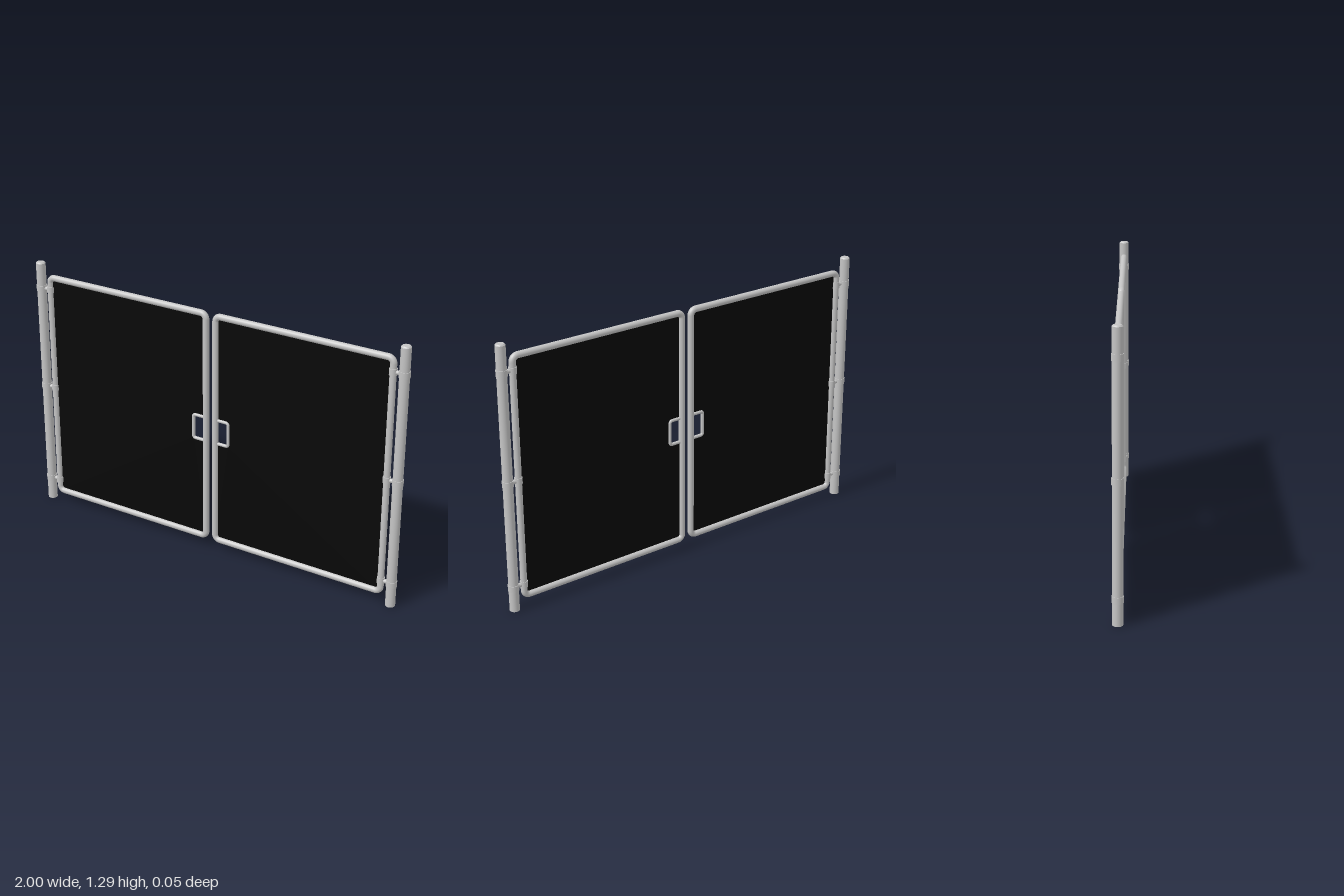
import * as THREE from 'three';

const steel = new THREE.MeshStandardMaterial({ color: 0xc4c4c4 });
steel.name = 'galvanised steel';
const mesh = new THREE.MeshStandardMaterial({ color: 0x080808, side: THREE.DoubleSide });
mesh.name = 'black infill';

const POST_X = 0.974, POST_R = 0.0235, POST_H = 1.293;
const X0 = 0.026, X1 = 0.92, Y0 = 0.056, Y1 = 1.223, TUBE = 0.0155;
const HANDLE_X = 0.096, HANDLE_Y0 = 0.577, HANDLE_Y1 = 0.699;

function add(parent, name, geometry, material, x = 0, y = 0) {
  const m = new THREE.Mesh(geometry, material);
  m.name = name;
  m.position.set(x, y, 0);
  parent.add(m);
  return m;
}

// Straight round bar between two points in the gate's plane
function bar(parent, name, ax, ay, bx, by, r) {
  const length = Math.hypot(bx - ax, by - ay);
  const m = add(parent, name, new THREE.CylinderGeometry(r, r, length, 20, 1, true), steel, (ax + bx) / 2, (ay + by) / 2);
  m.rotation.z = Math.atan2(by - ay, bx - ax) - Math.PI / 2;
}

// Round-cornered tube frame; an open frame has no inner side
function tubeFrame(name, x0, x1, y0, y1, bend, r, open) {
  const g = new THREE.Group();
  g.name = name;
  const start = open ? x0 : x0 + bend;
  bar(g, name + 'Top', start, y1, x1 - bend, y1, r);
  bar(g, name + 'Bottom', start, y0, x1 - bend, y0, r);
  bar(g, name + 'OuterSide', x1, y0 + bend, x1, y1 - bend, r);
  if (!open) bar(g, name + 'InnerSide', x0, y0 + bend, x0, y1 - bend, r);
  const corners = [[x1 - bend, y1 - bend, 0], [x1 - bend, y0 + bend, 3]];
  if (!open) corners.push([x0 + bend, y1 - bend, 1], [x0 + bend, y0 + bend, 2]);
  for (const [x, y, quarter] of corners) {
    const c = add(g, name + 'Corner', new THREE.TorusGeometry(bend, r, 20, 8, Math.PI / 2), steel, x, y);
    c.rotation.z = quarter * Math.PI / 2;
  }
  return g;
}

function gateSide(name) {
  const side = new THREE.Group();
  side.name = name;

  // Post with a slightly bevelled top
  add(side, 'post', new THREE.CylinderGeometry(POST_R, POST_R, POST_H - 0.006, 28), steel, POST_X, (POST_H - 0.006) / 2);
  add(side, 'postCap', new THREE.CylinderGeometry(POST_R * 0.75, POST_R, 0.006, 28), steel, POST_X, POST_H - 0.003);

  // Leaf frame and latch opening
  side.add(tubeFrame('leafFrame', X0, X1, Y0, Y1, 0.026, TUBE, false));
  side.add(tubeFrame('latchFrame', X0, HANDLE_X, HANDLE_Y0, HANDLE_Y1, 0.012, 0.008, true));

  // Infill sheet with a notch for the latch
  const sheet = new THREE.Shape([
    [X0, Y0 + 0.01], [X0 + 0.01, Y0], [X1 - 0.01, Y0], [X1, Y0 + 0.01],
    [X1, Y1 - 0.01], [X1 - 0.01, Y1], [X0 + 0.01, Y1], [X0, Y1 - 0.01],
    [X0, HANDLE_Y1], [HANDLE_X, HANDLE_Y1], [HANDLE_X, HANDLE_Y0], [X0, HANDLE_Y0],
  ].map(([x, y]) => new THREE.Vector2(x, y)));
  add(side, 'infillSheet', new THREE.ShapeGeometry(sheet), mesh);

  // Hinges: a collar on the post, one on the leaf, and a pin between
  for (const y of [0.117, 0.638, 1.16]) {
    add(side, 'postCollar', new THREE.CylinderGeometry(0.026, 0.026, 0.03, 28), steel, POST_X, y);
    add(side, 'leafCollar', new THREE.CylinderGeometry(0.0185, 0.0185, 0.03, 24), steel, X1, y);
    bar(side, 'hingePin', X1, y, POST_X, y, 0.01);
  }
  return side;
}

export function createModel() {
  const model = new THREE.Group();
  model.name = 'doubleGate';
  const left = gateSide('leftGate');
  const right = gateSide('rightGate');
  right.rotation.y = Math.PI;
  model.add(left, right);
  return model;
}
